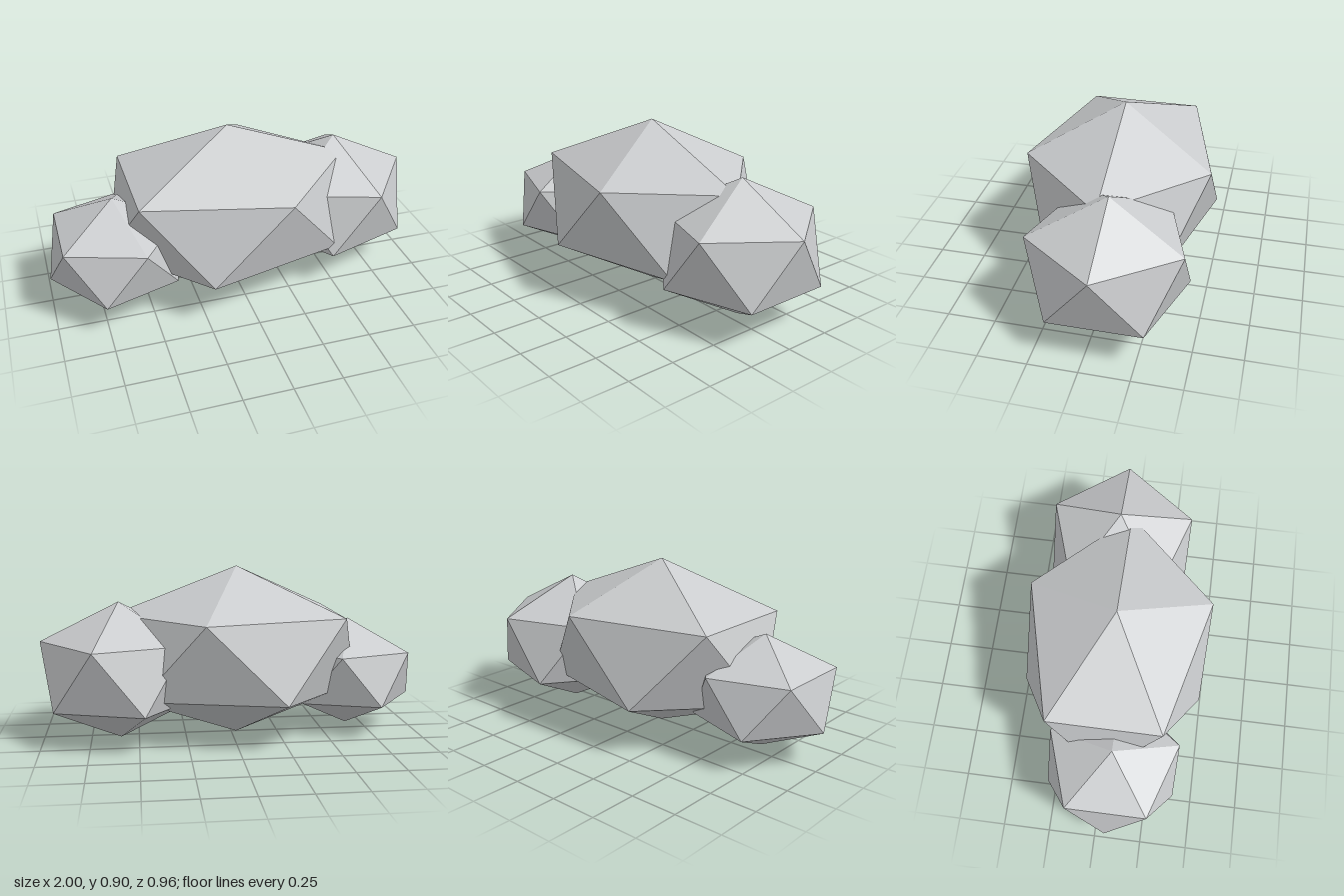
import * as THREE from 'three';

// Icosahedron standing on one corner, with an upper-ring corner pointing to +x
function rockGeometry(rx, ry, rz) {
  const geometry = new THREE.IcosahedronGeometry(1, 0);
  geometry.rotateZ(-Math.atan(2 / (1 + Math.sqrt(5))));
  geometry.scale(rx, ry, rz);
  return geometry;
}

export function createModel() {
  const group = new THREE.Group();
  group.name = 'rockCluster';

  const stone = new THREE.MeshStandardMaterial({ color: 0xcaccce, flatShading: true });
  stone.name = 'pale stone grey';

  // name, centre, radii
  const rocks = [
    ['middleRock', [-0.027, 0.452, 0], [0.73, 0.452, 0.564]],
    ['leftRock', [0.595, 0.367, -0.057], [0.453, 0.362, 0.451]],
    ['rightRock', [-0.65, 0.312, 0.055], [0.391, 0.295, 0.396]],
  ];
  for (const [name, centre, radii] of rocks) {
    const rock = new THREE.Mesh(rockGeometry(...radii), stone);
    rock.name = name;
    rock.position.set(...centre);
    group.add(rock);
  }
  return group;
}
